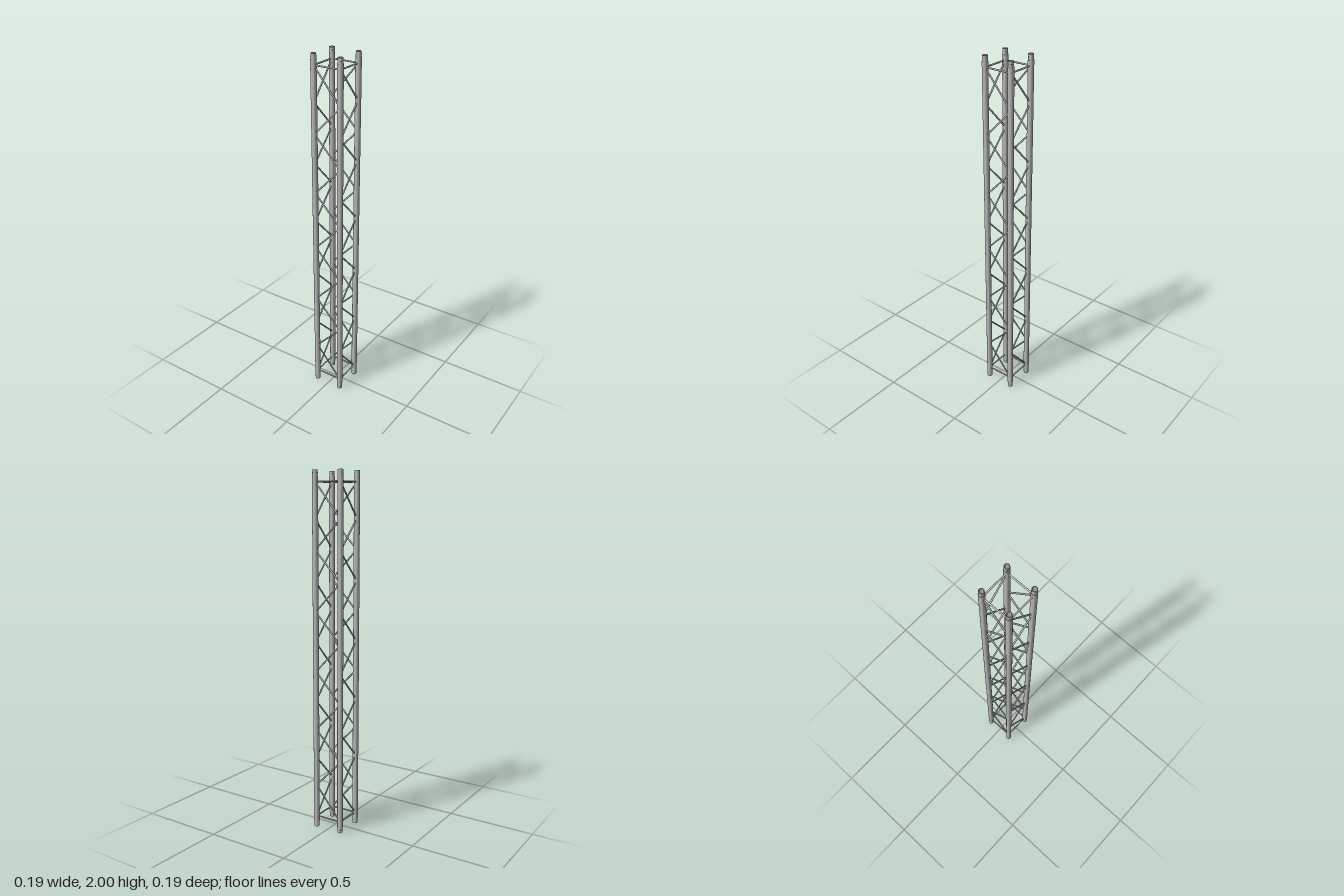
import * as THREE from 'three';
import { toCreasedNormals } from 'three/addons/utils/BufferGeometryUtils.js';

const HALF = 0.08;        // chord centre offset
const CHORD_R = 0.0162;
const SLEEVE_R = 0.0145;
const BORE_R = 0.0107;
const ROD_R = 0.0045;
const END = 0.03;         // length of each stepped end

export function createModel() {
  const aluminium = new THREE.MeshStandardMaterial({ color: 0xb4b4b4 });
  aluminium.name = 'aluminium';
  const dark = new THREE.MeshStandardMaterial({ color: 0x3c3c3c });
  dark.name = 'pinHoleDark';

  const model = new THREE.Group();
  model.name = 'boxTruss';

  // Hollow chord with a narrower connector sleeve at both ends
  const profile = [
    [BORE_R, 0], [SLEEVE_R, 0], [SLEEVE_R, END], [CHORD_R, END],
    [CHORD_R, 2 - END], [SLEEVE_R, 2 - END], [SLEEVE_R, 2], [BORE_R, 2], [BORE_R, 0],
  ].map(([r, y]) => new THREE.Vector2(r, y));
  const chordGeometry = toCreasedNormals(new THREE.LatheGeometry(profile, 24), 0.6);
  const holeGeometry = new THREE.CylinderGeometry(0.0035, 0.0035, 0.002, 12);
  holeGeometry.rotateX(Math.PI / 2);

  // Straight round rod between two points
  const up = new THREE.Vector3(0, 1, 0);
  function rod(name, a, b) {
    const span = b.clone().sub(a);
    const mesh = new THREE.Mesh(
      new THREE.CylinderGeometry(ROD_R, ROD_R, span.length(), 12, 1, true), aluminium);
    mesh.name = name;
    mesh.position.copy(a).add(b).multiplyScalar(0.5);
    mesh.quaternion.setFromUnitVectors(up, span.normalize());
    return mesh;
  }

  // Heights where the lacing meets the chords
  const nodes = [1.94];
  for (let i = 0; i < 10; i++) nodes.push(1.75 - i / 6);
  nodes.push(0.062);

  // Four identical sides, each a chord plus one laced face
  for (let s = 0; s < 4; s++) {
    const side = new THREE.Group();
    side.name = 'side' + (s + 1);
    side.rotation.y = s * Math.PI / 2;

    const chord = new THREE.Mesh(chordGeometry, aluminium);
    chord.name = 'chord';
    chord.position.set(HALF, 0, HALF);
    side.add(chord);

    // Pin holes through the sleeves
    for (const y of [0.016, 1.984]) {
      for (const angle of [Math.PI / 4, Math.PI * 5 / 4]) {
        const hole = new THREE.Mesh(holeGeometry, dark);
        hole.name = 'pinHole';
        hole.rotation.y = angle;
        hole.position.set(
          HALF + Math.sin(angle) * (SLEEVE_R - 0.0005), y,
          HALF + Math.cos(angle) * (SLEEVE_R - 0.0005));
        side.add(hole);
      }
    }

    // End rods, stopping inside the chord walls
    const reach = HALF - 0.013;
    for (const y of [nodes[0], nodes[nodes.length - 1]]) {
      side.add(rod('endRod',
        new THREE.Vector3(-reach, y, HALF), new THREE.Vector3(reach, y, HALF)));
    }

    // Zigzag lacing, trimmed to the chord walls
    for (let i = 0; i < nodes.length - 1; i++) {
      const x = i % 2 ? HALF : -HALF;
      const a = new THREE.Vector3(x, nodes[i], HALF);
      const b = new THREE.Vector3(-x, nodes[i + 1], HALF);
      const trim = 0.013 / (2 * HALF);
      side.add(rod('diagonalRod', a.clone().lerp(b, trim), b.clone().lerp(a, trim)));
    }
    model.add(side);
  }
  return model;
}
